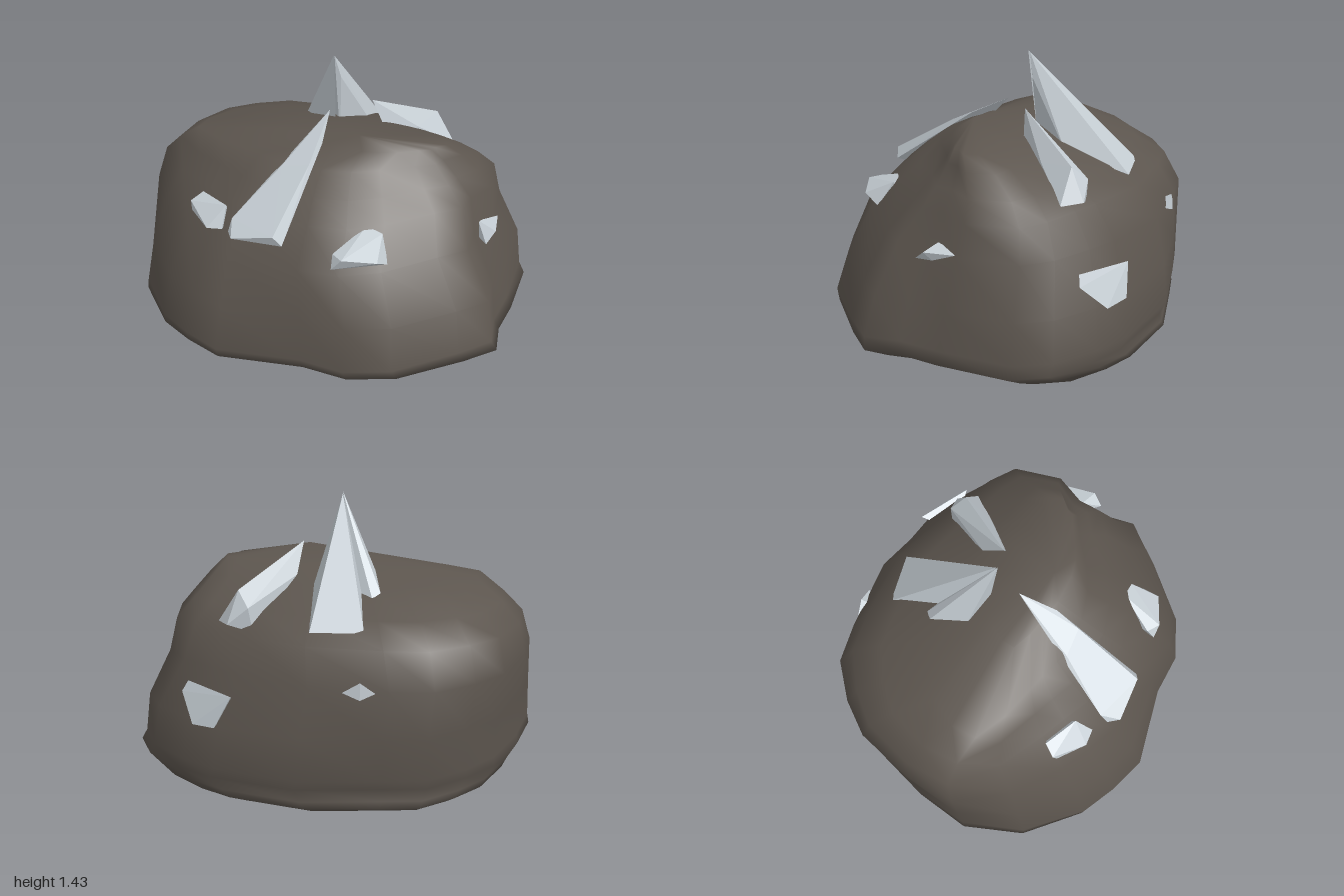
import * as THREE from 'three';
import { mergeVertices } from 'three/addons/utils/BufferGeometryUtils.js';
import { ConvexGeometry } from 'three/addons/geometries/ConvexGeometry.js';

// Irregular footprint of the boulder [x, z], counter-clockwise from above
const OUTLINE = [
  [1, -0.25], [0.93, -0.43], [0.76, -0.6], [0.6, -0.71], [0.2, -0.85], [-0.2, -0.84],
  [-0.41, -0.83], [-0.6, -0.71], [-0.75, -0.57], [-0.9, -0.3], [-1, -0.02], [-0.95, 0.3],
  [-0.76, 0.58], [-0.6, 0.7], [-0.42, 0.8], [0, 0.8], [0.22, 0.85], [0.45, 0.8],
  [0.75, 0.6], [0.9, 0.48], [0.9, 0.3], [0.95, 0.1],
];

// Height rings: y, x min, x max, z min, z max
const RINGS = [
  [0, 0.1, 0.1, -0.15, -0.15],
  [0.005, -0.1, 0.3, -0.42, 0.12],
  [0.03, -0.55, 0.47, -0.67, 0.34],
  [0.07, -0.83, 0.75, -0.8, 0.48],
  [0.1, -0.9, 0.86, -0.84, 0.58],
  [0.13, -0.94, 0.92, -0.83, 0.72],
  [0.185, -1, 1, -0.82, 0.83],
  [0.24, -0.99, 0.97, -0.85, 0.85],
  [0.44, -0.98, 0.96, -0.84, 0.8],
  [0.67, -0.97, 0.89, -0.815, 0.73],
  [0.83, -0.92, 0.88, -0.72, 0.58],
  [0.92, -0.83, 0.8, -0.57, 0.47],
  [1.01, -0.71, 0.71, -0.34, 0.34],
  [1.075, -0.25, 0.61, -0.12, 0.23],
  [1.12, 0.15, 0.15, 0.14, 0.14],
];

// How far each corner of the crown slopes inwards
const slopeIn = (x, z) => (z > 0 ? (x > 0 ? 0.19 : 0.24) : (x > 0 ? 0.22 : -0.1));

function boulderGeometry() {
  const positions = [], index = [], n = OUTLINE.length, last = RINGS.length - 1;
  RINGS.forEach(([y, x0, x1, z0, z1], i) => {
    const rise = THREE.MathUtils.smoothstep(y, 0.25, 1.05);
    OUTLINE.forEach(([x, z], j) => {
      const w = z / 0.85;
      const k = 1 - rise * slopeIn(x, z) * Math.abs(Math.sin(2 * Math.atan2(w, x)));
      positions.push((x0 + x1) / 2 + x * k * (x1 - x0) / 2, y, (z0 + z1) / 2 + w * k * (z1 - z0) / 2);
      // the first and last rings are single points, so their bands are fans
      const a = i * n + j, b = i * n + (j + 1) % n;
      if (i > 0 && i < last) index.push(a, b, a + n);
      if (i < last - 1) index.push(b, b + n, a + n);
    });
  });
  const geometry = new THREE.BufferGeometry();
  geometry.setAttribute('position', new THREE.Float32BufferAttribute(positions, 3));
  geometry.setIndex(index);
  const merged = mergeVertices(geometry, 1e-4);
  merged.computeVertexNormals();
  return merged;
}

// Faceted crystals, each the hull of a few corner points; the first is the tip of a spike
const CRYSTALS = {
  frontSpike: [
    [-0.02, 1.18, 0.01], [-0.2, 1.0, 0.3], [-0.02, 1.09, 0.2], [-0.06, 1.03, 0.32], [-0.39, 0.82, 0.53],
    [-0.4, 0.77, 0.57], [-0.37, 0.77, 0.63], [-0.16, 0.82, 0.66], [-0.12, 0.77, 0.65], [-0.2, 0.7, 0.45],
  ],
  backSpike: [
    [-0.02, 1.42, -0.1], [0.01, 1.3, -0.12], [-0.12, 0.88, -0.63], [0.13, 0.88, -0.63],
    [0.13, 0.98, -0.31], [-0.11, 1.0, -0.37], [0, 0.95, -0.15],
  ],
  rightBackSpike: [
    [-0.02, 1.43, -0.09], [-0.18, 1.06, -0.2], [-0.2, 1.0, -0.39], [-0.16, 0.98, -0.42],
    [-0.1, 1.0, -0.37], [-0.02, 1.0, -0.14],
  ],
  leftBackSpike: [
    [0.17, 1.19, -0.12], [0.25, 1.0, -0.13], [0.2, 1.05, -0.24], [0.42, 0.95, -0.48],
    [0.52, 0.87, -0.48], [0.57, 0.86, -0.38], [0.39, 1.0, -0.25], [0.47, 1.02, -0.41], [0.4, 0.83, -0.47],
  ],
  rightFrontShard: [
    [-0.65, 0.79, 0.36], [-0.6, 0.82, 0.31], [-0.45, 0.82, 0.42], [-0.45, 0.74, 0.51],
    [-0.53, 0.73, 0.5], [-0.64, 0.75, 0.38], [-0.45, 0.7, 0.3],
  ],
  leftFrontShard: [
    [0.12, 0.7, 0.69], [0.12, 0.76, 0.65], [0.17, 0.76, 0.7], [0.25, 0.83, 0.49],
    [0.33, 0.81, 0.51], [0.37, 0.69, 0.58], [0.33, 0.74, 0.66], [0.2, 0.65, 0.45],
  ],
  leftSideShard: [
    [0.84, 0.69, 0.04], [0.75, 0.71, 0.14], [0.8, 0.64, 0.24], [0.84, 0.69, 0.19], [0.83, 0.65, 0.15], [0.7, 0.65, 0.1],
  ],
  leftBackShard: [
    [0.71, 0.6, -0.5], [0.74, 0.55, -0.51], [0.68, 0.43, -0.63], [0.57, 0.44, -0.7],
    [0.49, 0.59, -0.69], [0.5, 0.5, -0.5],
  ],
  backShard: [
    [-0.17, 0.66, -0.82], [-0.02, 0.66, -0.81], [-0.1, 0.71, -0.82], [-0.1, 0.63, -0.83], [-0.1, 0.66, -0.72],
  ],
};

export function createModel() {
  const group = new THREE.Group();
  group.name = 'crystalBoulder';

  const rock = new THREE.MeshStandardMaterial({ color: 0x5c554e });
  const boulder = new THREE.Mesh(boulderGeometry(), rock);
  boulder.name = 'boulder';
  group.add(boulder);

  const crystal = new THREE.MeshStandardMaterial({ color: 0xc4ccd2, flatShading: true });
  for (const [name, corners] of Object.entries(CRYSTALS)) {
    const points = corners.map((p) => new THREE.Vector3(...p));
    const mesh = new THREE.Mesh(new ConvexGeometry(points), crystal);
    mesh.name = name;
    group.add(mesh);
  }
  return group;
}
